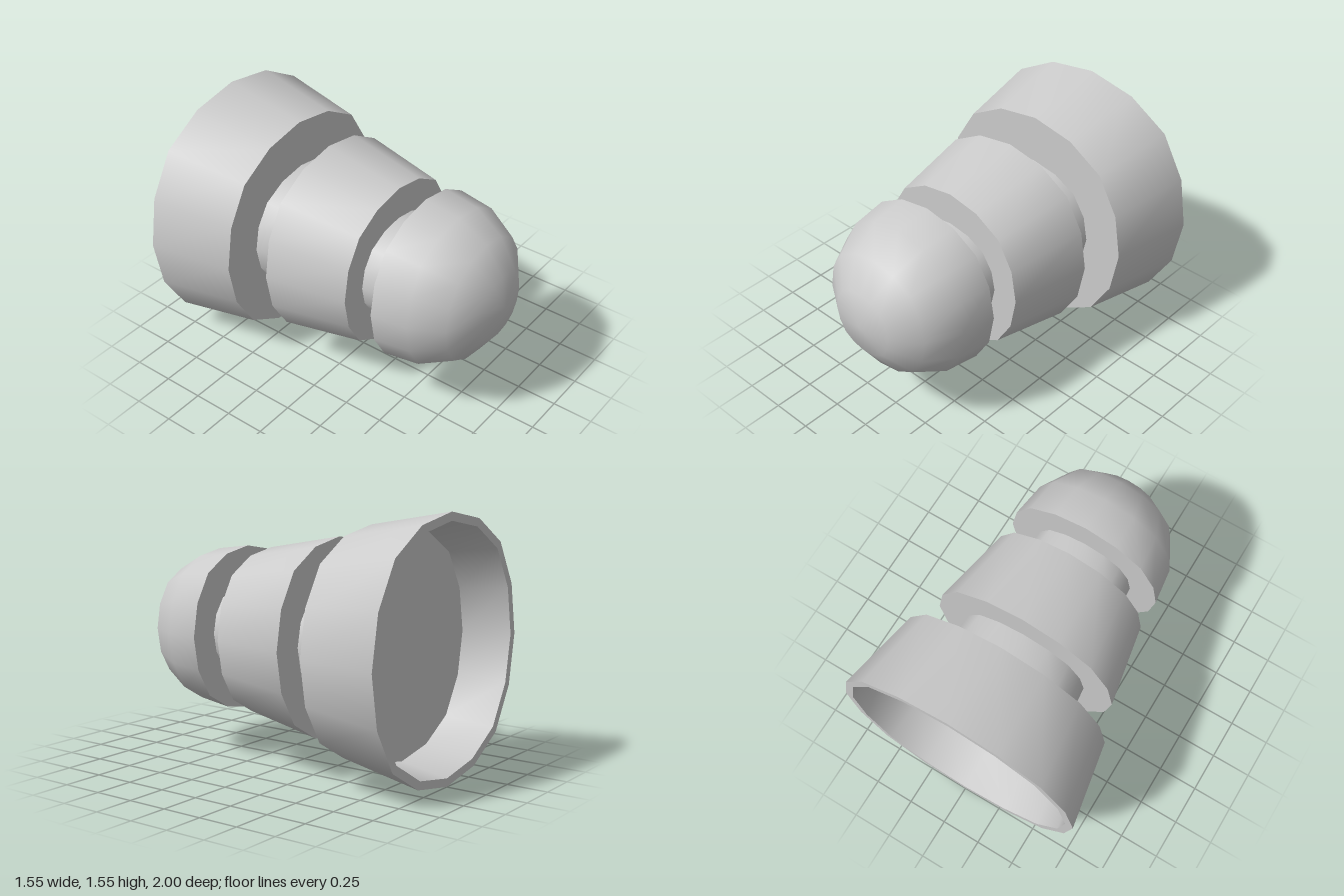
import * as THREE from 'three';
import { mergeVertices } from 'three/addons/utils/BufferGeometryUtils.js';

const material = new THREE.MeshStandardMaterial({ color: 0xcccccc });
const CENTRE_Y = 0.775;

// Sixteen-sided cross-section, slightly fuller at the diagonals
const quarter = [[1, 0], [0.93, 0.397], [0.733, 0.733], [0.397, 0.93]];
const ring = [];
for (let q = 0; q < 4; q++) {
  for (const [x, y] of quarter) {
    const c = [1, 0, -1, 0][q], s = [0, 1, 0, -1][q];
    ring.push([x * c - y * s, x * s + y * c]);
  }
}

// Smooth skin through rings given as [z, radius]; squash flattens it in y
function loft(profile, squash = 1) {
  const positions = [], index = [], n = ring.length;
  for (const [z, r] of profile) {
    for (const [x, y] of ring) positions.push(x * r, CENTRE_Y + y * r * squash, z);
  }
  for (let i = 0; i < profile.length - 1; i++) {
    for (let j = 0; j < n; j++) {
      const k = (j + 1) % n;
      const a = i * n + j, b = a + n, d = i * n + k, c = d + n;
      if (profile[i + 1][1] > 0) index.push(a, b, c);
      if (profile[i][1] > 0) index.push(a, c, d);
    }
  }
  let geometry = new THREE.BufferGeometry();
  geometry.setAttribute('position', new THREE.Float32BufferAttribute(positions, 3));
  geometry.setIndex(index);
  geometry = mergeVertices(geometry);
  geometry.computeVertexNormals();
  return geometry;
}

// A part made of skins that meet at sharp edges
function part(name, skins, squash) {
  const group = new THREE.Group();
  group.name = name;
  for (const [skinName, profile] of Object.entries(skins)) {
    const mesh = new THREE.Mesh(loft(profile, squash), material);
    mesh.name = skinName;
    group.add(mesh);
  }
  return group;
}

export function createModel() {
  const model = new THREE.Group();
  model.name = 'steppedPlug';

  model.add(
    // Rounded nose
    part('nose', {
      noseDome: [[1, 0], [0.965, 0.204], [0.852, 0.375], [0.66, 0.477], [0.435, 0.507]],
      noseBack: [[0.435, 0.507], [0.435, 0]],
    }),

    // Slim oval necks between the flared sections
    part('frontNeck', { neckWall: [[0.435, 0.327], [0.25, 0.345]] }, 0.878),
    part('rearNeck', { neckWall: [[-0.255, 0.407], [-0.475, 0.433]] }, 0.878),

    // Flared middle collar
    part('middleCollar', {
      collarFront: [[0.252, 0], [0.252, 0.507]],
      collarWall: [[0.252, 0.507], [-0.255, 0.6]],
      collarBack: [[-0.255, 0.6], [-0.255, 0]],
    }),

    // Flared base with a recess open to the back
    part('baseCup', {
      cupFront: [[-0.475, 0], [-0.475, 0.68]],
      cupWall: [[-0.475, 0.68], [-1, 0.775]],
      cupRim: [[-1, 0.775], [-1, 0.725]],
      cupInnerWall: [[-1, 0.725], [-0.7, 0.675]],
      cupFloor: [[-0.7, 0.675], [-0.7, 0]],
    }),
  );
  return model;
}
